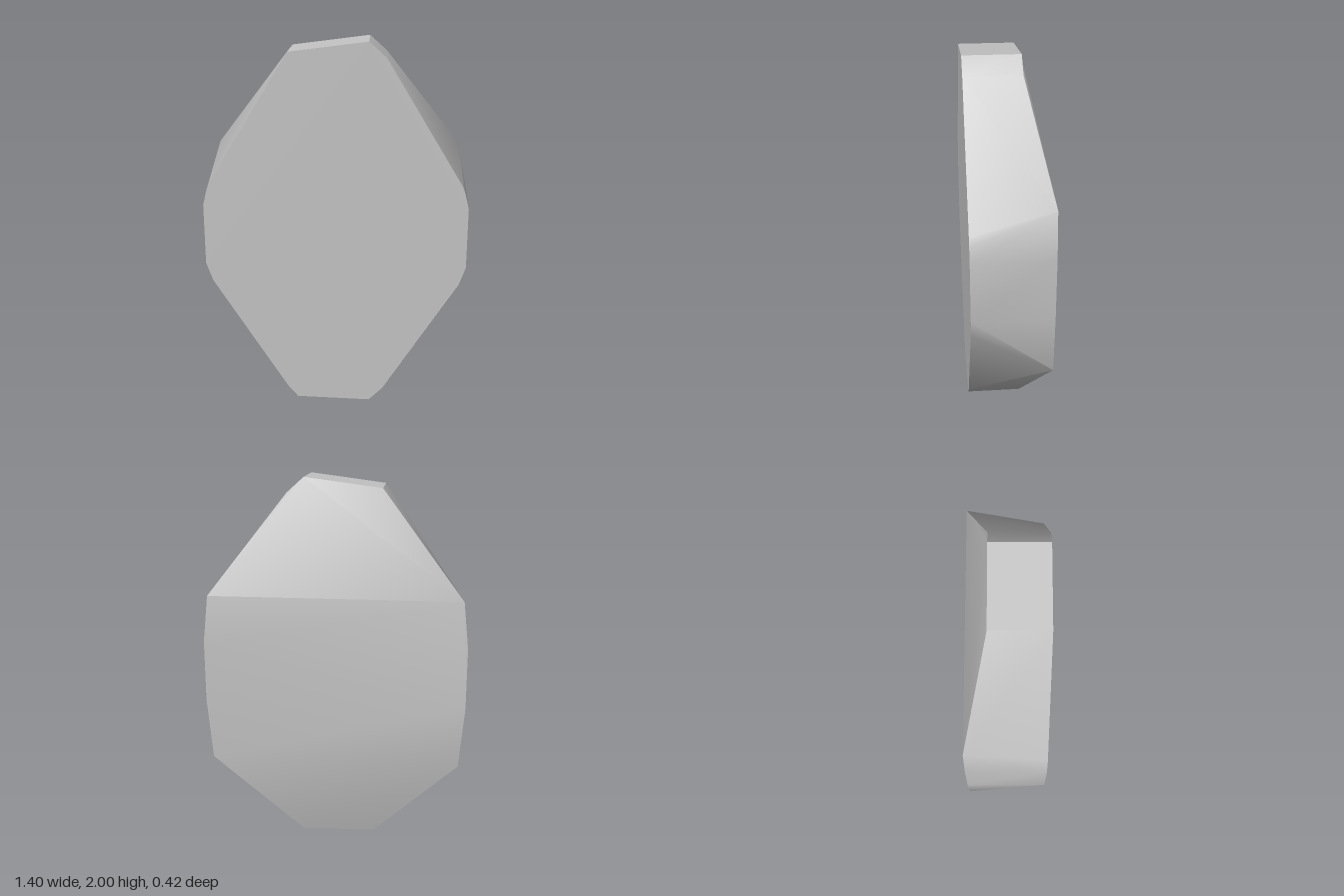
import * as THREE from 'three';
import { ConvexGeometry } from 'three/addons/geometries/ConvexGeometry.js';
import { toCreasedNormals } from 'three/addons/utils/BufferGeometryUtils.js';

export function createModel() {
  const group = new THREE.Group();
  const stone = new THREE.MeshStandardMaterial({ color: 0xc4c4c4 });
  stone.name = 'pale grey';

  const points = [];
  const ring = (z, corners) => corners.forEach(([x, y]) => points.push(new THREE.Vector3(x, y, z)));
  const both = (x, y) => [[x, y], [-x, y]];

  // Upper and lower tips, running straight from the front to the tapered back
  const tips = [
    [-0.24, 1.947], [0.17, 2], [0.26, 1.92],
    [0.19, 0], [-0.21, 0.01],
  ];
  ring(0.21, tips);
  ring(-0.085, tips);

  // Front face: rounded shoulders
  ring(0.21, [
    ...both(0.665, 1.26), ...both(0.68, 1.22), ...both(0.7, 1.14),
    ...both(0.7, 0.81), ...both(0.665, 0.71), ...both(0.265, 0.075),
  ]);

  // Back face: wider shoulders on the deepest plane
  ring(-0.21, [
    ...both(0.672, 1.39), ...both(0.7, 1.14),
    ...both(0.7, 0.81), ...both(0.672, 0.48),
  ]);

  // Faceted slab with softened shallow facets and sharp rims
  const slab = new THREE.Mesh(
    toCreasedNormals(new ConvexGeometry(points), THREE.MathUtils.degToRad(38)),
    stone,
  );
  slab.name = 'facetedSlab';
  group.add(slab);
  return group;
}
